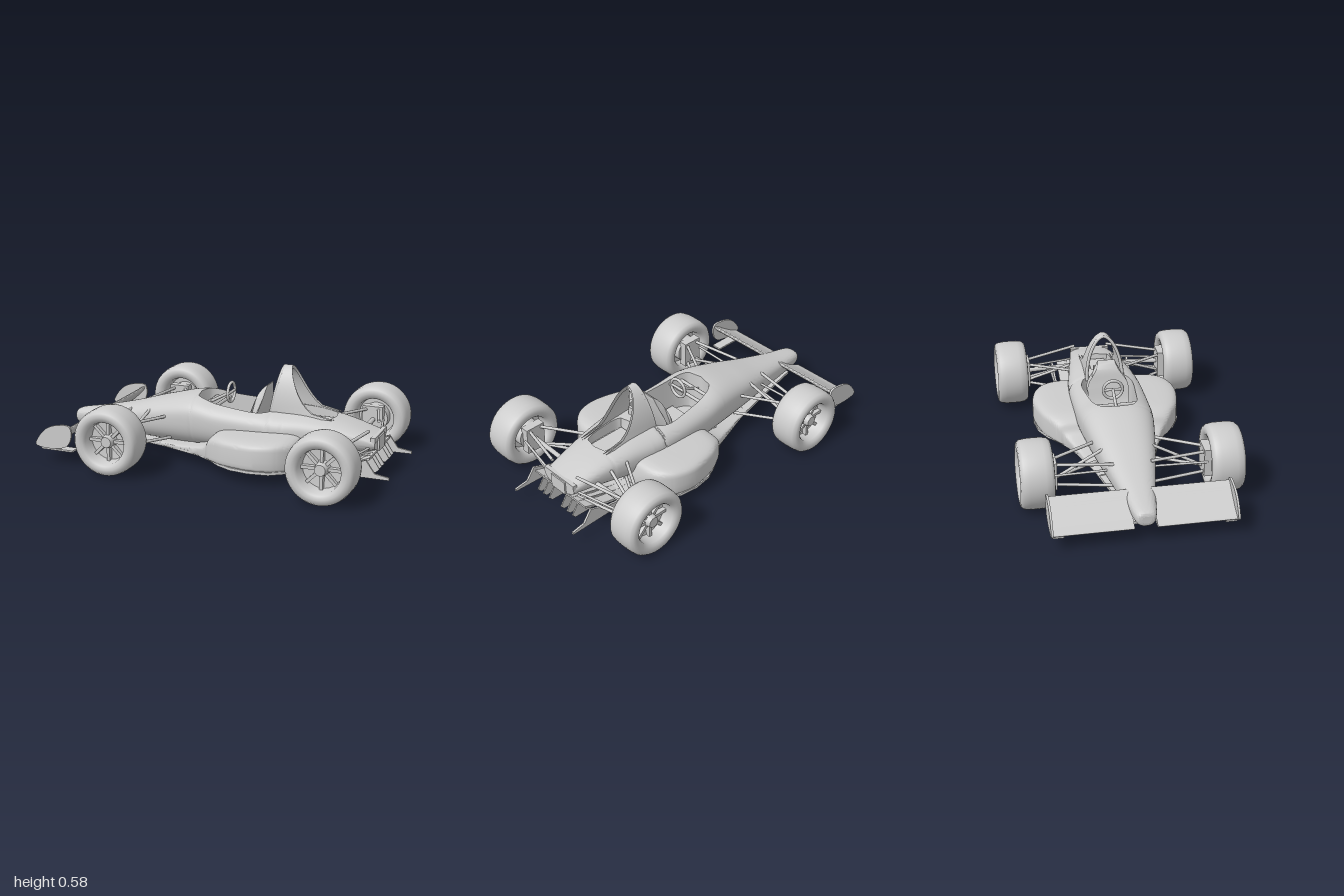
import * as THREE from 'three';
import { toCreasedNormals } from 'three/addons/utils/BufferGeometryUtils.js';

const mat = new THREE.MeshStandardMaterial({ color: 0xcccccc, side: THREE.DoubleSide });
const V = (x, y, z) => new THREE.Vector3(x, y, z);

function add(parent, name, geo, x = 0, y = 0, z = 0) {
  const m = new THREE.Mesh(geo, mat);
  m.name = name;
  m.position.set(x, y, z);
  parent.add(m);
  return m;
}

// straight round bar between two points
function bar(parent, name, a, b, r) {
  const m = add(parent, name, new THREE.CylinderGeometry(r, r, a.distanceTo(b), 8));
  m.position.copy(a).lerp(b, 0.5);
  m.quaternion.setFromUnitVectors(V(0, 1, 0), b.clone().sub(a).normalize());
  return m;
}

// side profile in x,y extruded along z, centred on z = 0
function plate(pts, depth, smooth = false) {
  const p = pts.map(([x, y]) => new THREE.Vector2(x, y));
  const s = smooth
    ? new THREE.Shape(new THREE.CatmullRomCurve3([...p.map(q => V(q.x, q.y, 0))], true).getPoints(48).map(q => new THREE.Vector2(q.x, q.y)))
    : new THREE.Shape(p);
  const g = new THREE.ExtrudeGeometry(s, { depth, bevelEnabled: false }).translate(0, 0, -depth / 2);
  return toCreasedNormals(g, 0.6);
}

// indexed grid of points -> creased geometry
function skin(rows, closeEnds) {
  const pos = [], idx = [], n = rows[0].length;
  rows.forEach(r => r.forEach(p => pos.push(p.x, p.y, p.z)));
  for (let i = 0; i < rows.length - 1; i++) for (let j = 0; j < n - 1; j++) {
    const a = i * n + j, b = a + n;
    idx.push(a, b, a + 1, b, b + 1, a + 1);
  }
  if (closeEnds) [0, rows.length - 1].forEach((i, e) => {
    const c = rows[i].reduce((s, p) => s.add(p), V(0, 0, 0)).divideScalar(n);
    const k = pos.length / 3;
    pos.push(c.x, c.y, c.z);
    for (let j = 0; j < n - 1; j++) {
      const a = i * n + j;
      e ? idx.push(k, a, a + 1) : idx.push(k, a + 1, a);
    }
  });
  const g = new THREE.BufferGeometry();
  g.setAttribute('position', new THREE.Float32BufferAttribute(pos, 3));
  g.setIndex(idx);
  return toCreasedNormals(g, 0.7);
}

// lengthwise loft; stations are [x, halfWidth, bottom, top]; pocket(x) gives an opening in the top
function loft(stations, n, mid, pocket, sub = 10) {
  const curve = k => (t => {
    const i = Math.min(Math.floor(t), stations.length - 2), f = t - i;
    const at = q => stations[Math.max(0, Math.min(stations.length - 1, q))][k];
    const [a, b, c, d] = [at(i - 1), at(i), at(i + 1), at(i + 2)];
    return b + 0.5 * f * (c - a + f * (2 * a - 5 * b + 4 * c - d + f * (3 * (b - c) + d - a)));
  });
  const cols = [0, 1, 2, 3].map(curve), rows = [];
  for (let s = 0; s <= (stations.length - 1) * sub; s++) {
    const [x, w, lo, hi] = cols.map(f => f(s / sub));
    const [open, dip] = pocket(x);
    const yc = lo + (hi - lo) * mid, half = [];
    const end = Math.acos(Math.pow(Math.min(open / w, 0.95), n / 2));
    for (let j = 0; j <= 26; j++) {
      const a = -Math.PI / 2 + (end + Math.PI / 2) * j / 26, sn = Math.sin(a);
      const z = w * Math.pow(Math.max(0, Math.cos(a)), 2 / n);
      half.push([z, yc + Math.sign(sn) * Math.pow(Math.abs(sn), 2 / n) * (sn > 0 ? hi - yc : yc - lo)]);
    }
    for (const f of [0.98, 0.8, 0.4, 0]) half.push([open * f, open > 0 ? dip : hi]);
    rows.push([...half.map(([z, y]) => V(x, y, z)), ...half.slice(0, -1).reverse().map(([z, y]) => V(x, y, -z))]);
  }
  return skin(rows, true);
}

const oval = (x, a, b, w, p) => {
  const u = Math.abs((2 * x - a - b) / (b - a));
  return u < 1 ? w * Math.pow(1 - Math.pow(u, p), 1 / p) : 0;
};

function wheel(name, x, side) {
  const g = new THREE.Group();
  g.name = name;
  // hollow rim and rounded slick tyre in one profile
  const prof = [[0, .085], [.108, .085], [.116, .02], [.128, .006], [.15, 0], [.172, .004], [.185, .02], [.19, .05],
    [.191, .0925], [.19, .135], [.185, .165], [.172, .181], [.15, .185], [.13, .178], [.118, .165], [.11, .1], [.055, .095], [0, .095]];
  const lathe = new THREE.LatheGeometry(prof.map(p => new THREE.Vector2(...p)), 48).rotateX(Math.PI / 2);
  add(g, 'tyreAndRim', toCreasedNormals(lathe, 0.75));
  add(g, 'hub', new THREE.CylinderGeometry(.03, .045, .06, 20).rotateX(Math.PI / 2), 0, 0, .12);
  for (let i = 0; i < 8; i++) {
    const a = i * Math.PI / 4;
    add(g, 'spoke', new THREE.BoxGeometry(.085, .018, .03), Math.cos(a) * .07, Math.sin(a) * .07, .108).rotation.z = a;
  }
  g.position.set(x, .191, side * .42);
  if (side < 0) g.rotation.y = Math.PI;
  return g;
}

export function createModel() {
  const car = new THREE.Group();
  car.name = 'racingCar';

  // body shell with cockpit and engine openings
  add(car, 'bodyShell', loft([
    [-.99, .025, .125, .165], [-.965, .055, .1, .19], [-.8, .085, .085, .222], [-.6, .125, .085, .27], [-.4, .165, .08, .328],
    [-.18, .2, .075, .376], [0, .212, .075, .357], [.3, .212, .075, .343], [.5, .185, .09, .336], [.7, .15, .13, .3], [.88, .12, .165, .245],
  ], 2.5, .6, x => {
    if (x > .33) return [oval(x, .37, .63, .08, 5), .265];
    return [oval(x, -.18, .3, .135 + .02 * Math.min(1, Math.max(-1, x * 5)), 4), .13];
  }, 14));

  // side pods flaring out of the floor
  add(car, 'sidePods', loft([
    [-.42, .15, .07, .09], [-.2, .215, .068, .105], [-.06, .275, .066, .14], [-.01, .325, .066, .2], [.04, .36, .066, .225],
    [.12, .4, .066, .234], [.27, .43, .066, .24], [.38, .412, .066, .243], [.45, .365, .066, .238], [.49, .3, .066, .215], [.51, .2, .066, .15],
  ], 7, .4, x => [x > -.17 && x < .3 ? .16 : 0, .09], 8));

  // flat floor
  const half = [[-.9, .05], [-.6, .11], [-.35, .165], [-.1, .25], [0, .31], [.07, .37], [.16, .415], [.27, .43], [.38, .415],
    [.46, .36], [.51, .26], [.56, .21], [.66, .21]];
  const outline = [...half, ...half.slice().reverse().map(([x, z]) => [x, -z])];
  add(car, 'floor', plate(outline, .016).rotateX(Math.PI / 2), 0, .076, 0);

  // diffuser roof and fins
  add(car, 'diffuserRoof', plate([[.6, .07], [.74, .1], [.88, .155], [.88, .168], [.74, .115], [.6, .085]], .42));
  for (const s of [-1, 1]) {
    for (const z of [.05, .1, .145])
      add(car, 'diffuserFin', plate([[.08, .07], [.12, .06], [.6, .06], [.9, .068], [.92, .09], [.87, .165], [.6, .085], [.08, .08]], .007), 0, 0, s * z);
    add(car, 'diffuserEnd', plate([[.55, .065], [1, .068], [1, .082], [.92, .095], [.87, .165], [.74, .115], [.55, .085]], .012), 0, 0, s * .222).rotation.y = -s * .02;
  }

  // gearbox and rear crossbeam
  add(car, 'gearbox', new THREE.BoxGeometry(.22, .08, .11), .78, .2, 0);
  add(car, 'rearCrossbeam', new THREE.BoxGeometry(.025, .03, .24), .87, .235, 0);
  add(car, 'engine', new THREE.BoxGeometry(.22, .03, .1), .5, .275, 0);

  // roll hoop fairing: an arch sweeping back into the engine cover
  const arch = (scale, flip) => {
    const rows = [];
    for (let i = 0; i <= 32; i++) {
      const a = Math.PI * i / 32, h = Math.sin(a), row = [];
      const front = .275 + .045 * h, back = .64 - .27 * Math.pow(h, .33);
      for (let j = 0; j <= 12; j++) {
        const f = j / 12;
        const cz = Math.sign(Math.cos(a)) * Math.pow(Math.abs(Math.cos(a)), 1.15);
        row.push(V(front + (back - front) * f, .315 + (.265 - scale) * h, (.115 - scale) * cz * (1 - .12 * f)));
      }
      rows.push(flip ? row.reverse() : row);
    }
    return skin(rows, false);
  };
  add(car, 'rollHoopOuter', arch(0, true));
  add(car, 'rollHoopInner', arch(.018, false));
  const rim = Array.from({ length: 25 }, (_, i) => {
    const a = Math.PI * i / 24, c = Math.cos(a);
    return V(.278 + .045 * Math.sin(a), .315 + .256 * Math.sin(a), .106 * Math.sign(c) * Math.pow(Math.abs(c), 1.15));
  });
  add(car, 'rollHoopEdge', new THREE.TubeGeometry(new THREE.CatmullRomCurve3(rim), 48, .01, 8));
  add(car, 'firewall', new THREE.BoxGeometry(.015, .14, .125), .315, .32, 0);

  // seat back with rounded head, seat cushion
  const seat = plate([[.06, .14], [.13, .22], [.17, .34], [.195, .42], [.235, .462], [.225, .4], [.2, .3], [.16, .2], [.1, .13]], .24, true);
  const p = seat.attributes.position;
  for (let i = 0; i < p.count; i++) p.setZ(i, p.getZ(i) * (1 - .58 * THREE.MathUtils.smoothstep(p.getY(i), .32, .46)));
  seat.computeVertexNormals();
  add(car, 'seatBack', toCreasedNormals(seat, 0.6));
  add(car, 'seatCushion', new THREE.BoxGeometry(.16, .04, .22), .02, .15, 0);

  // steering wheel, column and dash
  add(car, 'steeringWheel', new THREE.TorusGeometry(.055, .009, 8, 28).rotateY(Math.PI / 2), 0, .387, 0);
  bar(car, 'steeringSpoke', V(0, .387, -.05), V(0, .387, .05), .008);
  bar(car, 'steeringColumn', V(0, .387, 0), V(-.16, .3, 0), .009);
  for (const x of [-.13, -.06]) bar(car, 'dashBar', V(x, .32, -.13), V(x, .32, .13), .01);

  // front wing with curved end plates and foot plates
  for (const s of [-1, 1]) {
    add(car, 'frontWing', plate([[-.985, .095], [-.93, .125], [-.86, .17], [-.79, .215], [-.785, .205], [-.84, .145], [-.9, .1], [-.95, .085]], .42, true), 0, 0, s * .27);
    add(car, 'wingEndPlate', plate([[-1, .1], [-.985, .14], [-.93, .2], [-.86, .226], [-.785, .226], [-.77, .18], [-.8, .11], [-.9, .085]], .012, true), 0, 0, s * .484);
    add(car, 'wingFootPlate', new THREE.BoxGeometry(.2, .01, .06), -.87, .078, s * .45);
  }

  // suspension, uprights and wheels on both sides
  for (const s of [-1, 1]) {
    const rod = (n, a, b, r = .009) => bar(car, n, V(a[0], a[1], s * a[2]), V(b[0], b[1], s * b[2]), r);
    for (const [y, yi] of [[.25, .25], [.13, .12]]) {
      rod('frontWishbone', [-.54, y, .42], [-.59, yi, .1]);
      rod('frontWishbone', [-.48, y, .42], [-.32, yi, .14]);
      rod('rearWishbone', [.69, y, .42], [.53, yi + .01, .14]);
      rod('rearWishbone', [.75, y, .42], [.84, yi + .03, .1]);
    }
    rod('frontPushrod', [-.5, .14, .41], [-.45, .27, .13]);
    rod('steeringRod', [-.57, .2, .42], [-.56, .2, .1], .007);
    rod('rearPushrod', [.7, .14, .41], [.64, .26, .12]);
    rod('driveShaft', [.72, .191, .48], [.74, .2, .04], .014);
    rod('rearToeLink', [.78, .19, .42], [.85, .19, .1], .007);
    add(car, 'frontUpright', new THREE.BoxGeometry(.12, .16, .05), -.51, .191, s * .425);
    add(car, 'rearUpright', new THREE.BoxGeometry(.12, .16, .05), .72, .191, s * .425);
    for (const x of [-.51, .72]) add(car, 'brakeDrum', new THREE.CylinderGeometry(.08, .08, .06, 24).rotateX(Math.PI / 2), x, .191, s * .47);
    car.add(wheel('frontWheel', -.51, s), wheel('rearWheel', .72, s));
  }
  return car;
}
